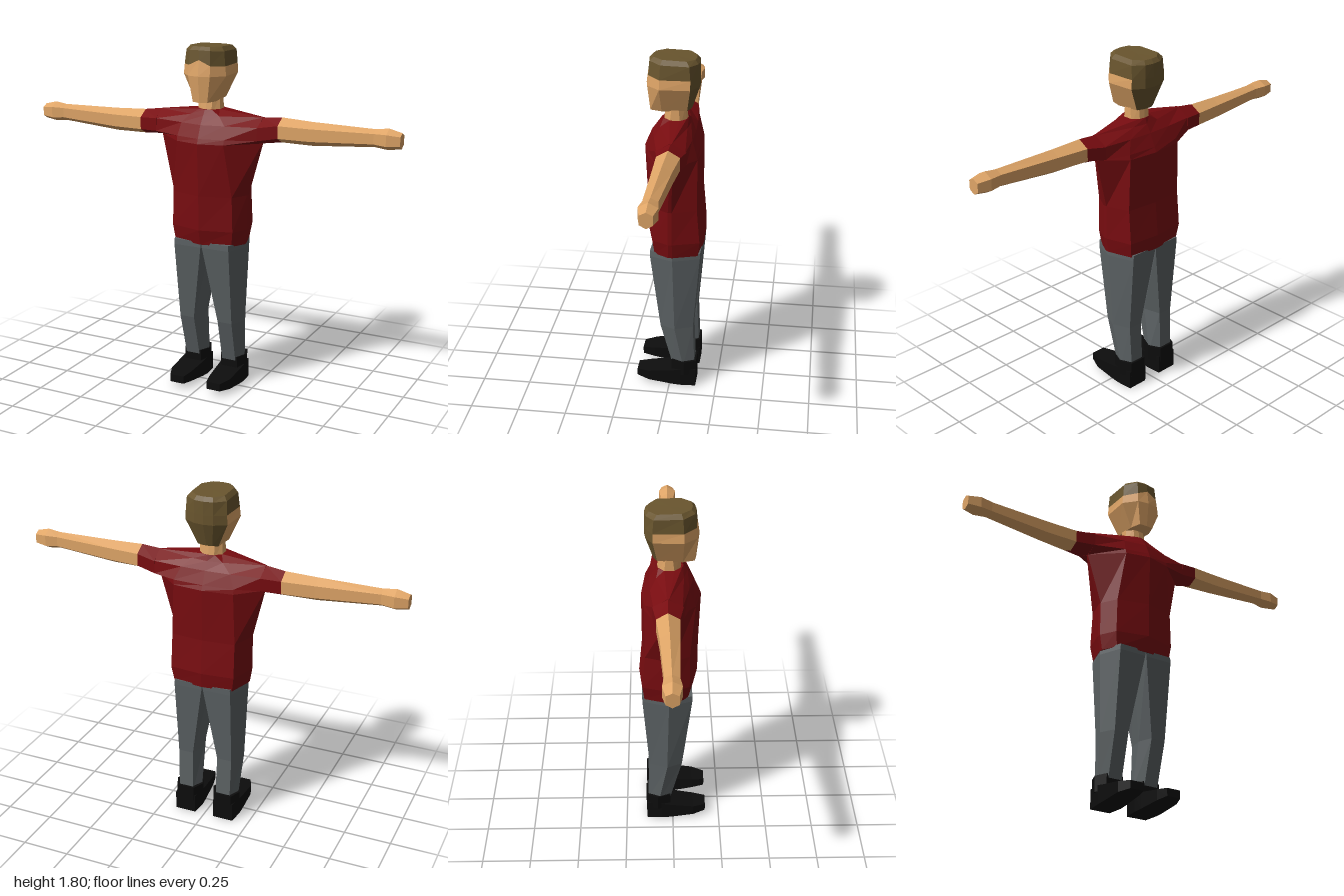
import * as THREE from 'three';

const mat = (name, color) => {
  const m = new THREE.MeshStandardMaterial({ color, flatShading: true });
  m.name = name;
  return m;
};

// Skin a list of equal-length rings (counter-clockwise about the loft direction).
// pick(i, j) gives the material index of the panel between rings i, i+1 at side j.
function loft(name, rings, materials, pick = () => 0) {
  const buckets = materials.map(() => []);
  const n = rings[0].length;
  for (let i = 0; i < rings.length - 1; i++) {
    for (let j = 0; j < n; j++) {
      const k = (j + 1) % n;
      const a = rings[i][j], b = rings[i][k], c = rings[i + 1][k], d = rings[i + 1][j];
      buckets[pick(i, j)].push(a, b, c, a, c, d);
    }
  }
  // end caps
  const cap = (ring, flip, bucket) => {
    const mid = [0, 1, 2].map(q => ring.reduce((s, p) => s + p[q], 0) / n);
    for (let j = 0; j < n; j++) {
      const a = ring[j], b = ring[(j + 1) % n];
      bucket.push(mid, flip ? b : a, flip ? a : b);
    }
  };
  cap(rings[0], true, buckets[0]);
  cap(rings[rings.length - 1], false, buckets[materials.length - 1]);

  const geo = new THREE.BufferGeometry();
  geo.setAttribute('position', new THREE.Float32BufferAttribute(buckets.flat(2), 3));
  let start = 0;
  buckets.forEach((b, i) => {
    geo.addGroup(start, b.length, i);
    start += b.length;
  });
  geo.computeVertexNormals();
  const mesh = new THREE.Mesh(geo, materials.length > 1 ? materials : materials[0]);
  mesh.name = name;
  return mesh;
}

// Six half points (front centre round to back centre) become a symmetric ring of ten
const symmetric = half => [
  ...half,
  ...half.slice(1, -1).reverse().map(([x, y, z]) => [-x, y, z]),
];
const sided = (rings, s) => s > 0 ? rings
  : rings.map(r => r.map(([x, y, z]) => [-x, y, z]).reverse());

export function createModel() {
  const model = new THREE.Group();
  model.name = 'standingFigure';
  const skin = mat('skin', 0xdfa567);
  const hair = mat('hair', 0x69552e);
  const red = mat('shirtRed', 0x780c10);
  const grey = mat('trouserGrey', 0x5c6264);
  const black = mat('shoeBlack', 0x0d0d0d);

  // Shirt body: y, front z, front corner x z, side x, side z front/back, back corner x z, back z
  const body = [
    [0.79, 0.11, 0.16, 0.075, 0.2, 0.0, -0.02, 0.16, -0.145, -0.162],
    [0.87, 0.128, 0.17, 0.085, 0.213, 0.0, -0.02, 0.172, -0.155, -0.172],
    [1.05, 0.13, 0.165, 0.085, 0.212, 0.0, -0.02, 0.17, -0.14, -0.155],
    [1.32, 0.142, 0.13, 0.112, 0.283, -0.02, -0.03, 0.16, -0.14, -0.156],
    [1.345, 0.133, 0.13, 0.105, 0.285, 0.05, -0.1, 0.16, -0.135, -0.145],
    [1.41, 0.105, 0.12, 0.08, 0.285, 0.045, -0.095, 0.13, -0.11, -0.115],
    [1.452, 0.075, 0.08, 0.055, 0.285, -0.02, -0.03, 0.08, -0.08, -0.09],
    [1.48, 0.055, 0.035, 0.045, 0.058, 0.01, -0.04, 0.035, -0.07, -0.078],
  ].map(([y, zf, cx, cz, sx, s1, s2, bx, bz, zb]) => symmetric([
    [0, y, zf], [cx, y, cz], [sx, y, s1], [sx, y, s2], [bx, y, bz], [0, y, zb],
  ]));
  model.add(loft('shirtBody', body, [red]));

  // Neck
  const neck = [[1.45, 0.062, 0.047, -0.078], [1.545, 0.058, 0.036, -0.068]]
    .map(([y, x, f, b]) => symmetric([
      [0, y, f], [0.03, y, f - 0.004], [x, y, f - 0.035],
      [x, y, b + 0.035], [0.03, y, b + 0.004], [0, y, b],
    ]));
  model.add(loft('neck', neck, [skin]));

  // Head: skin face and sides, hair over the crown and the back
  const head = [
    [[0, 1.522, 0.115], [0.04, 1.525, 0.108], [0.058, 1.525, 0.05],
      [0.055, 1.532, -0.075], [0.03, 1.535, -0.092], [0, 1.535, -0.096]],
    [[0, 1.655, 0.131], [0.06, 1.655, 0.12], [0.117, 1.655, 0.055],
      [0.11, 1.655, -0.095], [0.05, 1.655, -0.13], [0, 1.655, -0.136]],
    [[0, 1.735, 0.12], [0.058, 1.708, 0.115], [0.112, 1.703, 0.054],
      [0.108, 1.703, -0.096], [0.05, 1.703, -0.13], [0, 1.703, -0.136]],
    [[0, 1.782, 0.115], [0.055, 1.78, 0.108], [0.104, 1.775, 0.05],
      [0.104, 1.772, -0.09], [0.05, 1.77, -0.128], [0, 1.77, -0.135]],
    [[0, 1.798, 0.098], [0.046, 1.798, 0.09], [0.086, 1.797, 0.042],
      [0.086, 1.793, -0.075], [0.042, 1.79, -0.112], [0, 1.79, -0.118]],
  ].map(symmetric);
  model.add(loft('head', head, [skin, hair], (i, j) => (i >= 2 || (j >= 3 && j <= 6)) ? 1 : 0));

  // Arm sections: x, top y, upper and lower corner y, bottom y, front z, back z
  const arm = [
    [0.283, 1.452, 1.41, 1.345, 1.32, 0.05, -0.1],
    [0.385, 1.449, 1.415, 1.352, 1.324, 0.031, -0.083],
    [0.55, 1.442, 1.414, 1.352, 1.324, 0.027, -0.067],
    [0.87, 1.437, 1.42, 1.37, 1.35, 0.02, -0.05],
    [0.935, 1.446, 1.422, 1.366, 1.342, 0.03, -0.06],
    [1.0, 1.43, 1.415, 1.37, 1.353, 0.015, -0.045],
  ];
  // Leg sections: y, then outer x, outer and inner corner x, inner x, front z, middle z, back z
  const leg = [
    [0.12, 0.17, 0.145, 0.068, 0.04, -0.015, -0.075, -0.133],
    [0.36, 0.185, 0.15, 0.07, 0.046, 0.048, -0.03, -0.123],
    [0.77, 0.2, 0.155, 0.004, 0.002, 0.1, -0.02, -0.156],
    [0.8, 0.198, 0.153, 0.0, 0.0, 0.1, -0.02, -0.157],
  ];
  // Shoe sections along z: z, inner x, outer x, bottom y, top y
  const foot = [
    [-0.14, 0.052, 0.165, 0.0, 0.1],
    [-0.06, 0.042, 0.175, 0.004, 0.1],
    [-0.01, 0.045, 0.175, 0.008, 0.092],
    [0.11, 0.055, 0.172, 0.023, 0.077],
    [0.175, 0.068, 0.145, 0.03, 0.07],
  ];

  for (const s of [1, -1]) {
    const side = s > 0 ? 'left' : 'right';
    const armRings = arm.map(([x, t, u, l, b, f, k], i) => {
      const lift = i === 0 ? 0 : s * 0.011;
      const m = (f + k) / 2;
      return [[x, t, m], [x, u, f], [x, l, f], [x, b, m], [x, l, k], [x, u, k]]
        .map(([px, py, pz]) => [px, py + lift, pz]);
    });
    model.add(loft(side + 'Sleeve', sided(armRings.slice(0, 2), s), [red]));
    model.add(loft(side + 'Arm', sided(armRings.slice(1), s), [skin]));

    const legRings = leg.map(([y, xo, co, ci, xi, f, m, b]) => [
      [xo, y, m], [co, y, b], [ci, y, b], [xi, y, m], [ci, y, f], [co, y, f],
    ]);
    model.add(loft(side + 'Leg', sided(legRings, s), [grey]));

    const footRings = foot.map(([z, xi, xo, y0, y1]) => [
      [xo, y0, z], [xo, y1, z], [xi, y1, z], [xi, y0, z],
    ]);
    model.add(loft(side + 'Shoe', sided(footRings, s), [black]));

    // Ankle cuff of the shoe
    const cuff = [0.07, 0.152].map(y => [
      [0.181, y, -0.08], [0.155, y, -0.142], [0.06, y, -0.142],
      [0.031, y, -0.08], [0.06, y, -0.012], [0.155, y, -0.012],
    ]);
    model.add(loft(side + 'ShoeCuff', sided(cuff, s), [black]));
  }
  return model;
}
